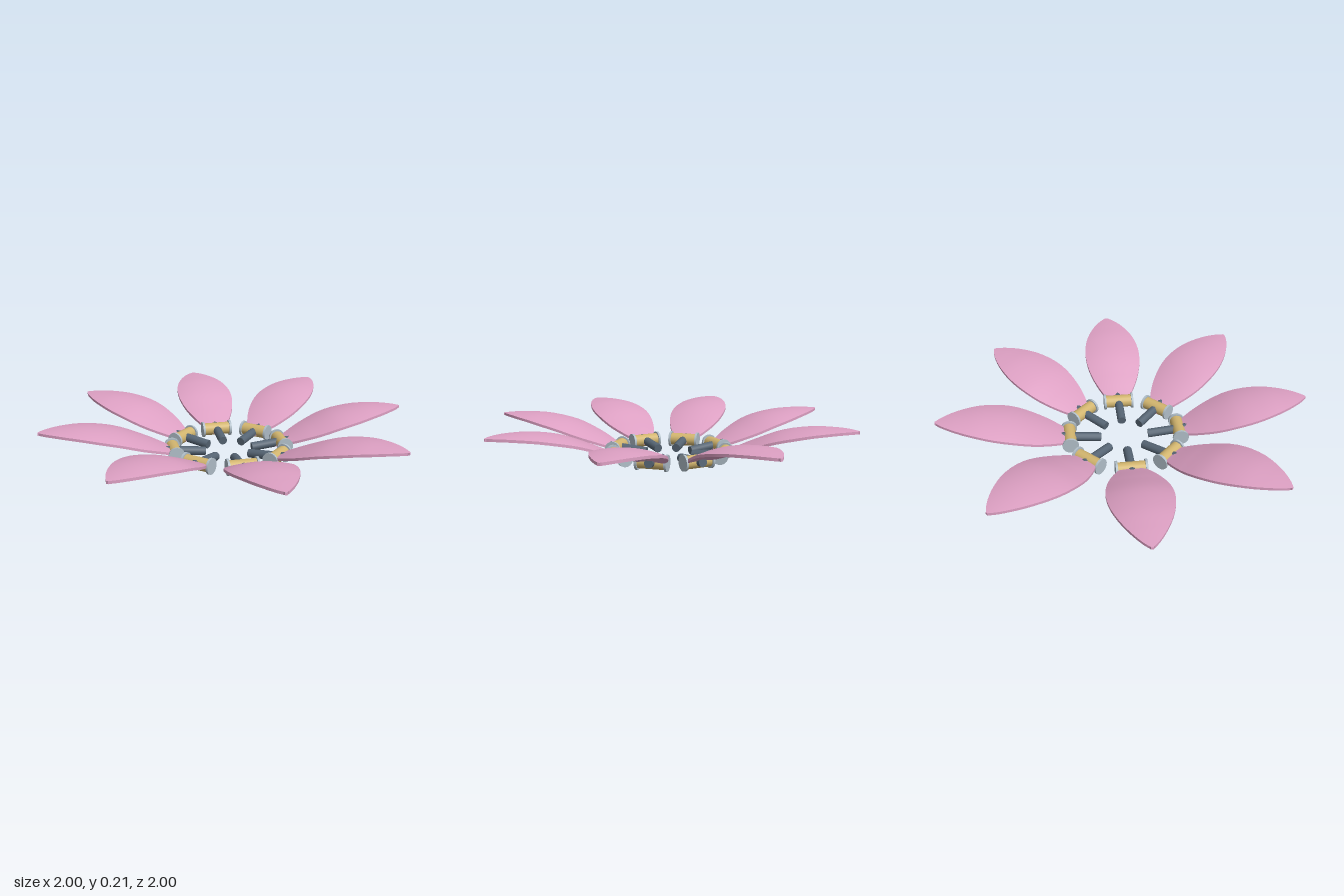
import * as THREE from 'three';
import { mergeGeometries } from 'three/addons/utils/BufferGeometryUtils.js';
import { ParametricGeometry } from 'three/addons/geometries/ParametricGeometry.js';

const mat = (name, color) => {
  const m = new THREE.MeshStandardMaterial({ color });
  m.name = name;
  return m;
};

const PETALS = 8, THICK = 0.014, HALF_WIDTH = 0.163;

// Centre line of a petal: x = distance from the middle, y = height
const spine = new THREE.SplineCurve([
  [0.25, 0.035], [0.33, 0.068], [0.45, 0.124], [0.6, 0.184],
  [0.75, 0.211], [0.88, 0.213], [1, 0.206],
].map(([r, y]) => new THREE.Vector2(r, y)));

// Point on the petal: s runs from root to tip, k from -1 to 1 across
function petalPoint(s, k, depth, target) {
  const t = (1 - Math.cos(Math.PI * s)) / 2;
  const p = spine.getPointAt(t);
  const f = Math.max(0.04, Math.pow(Math.max(0, Math.sin(Math.PI * (p.x - 0.25) / 0.75)), 0.75));
  target.set(HALF_WIDTH * f * k, p.y - 0.025 * f * f * k * k - depth, p.x);
}

// Domed leaf shape with a thin rim
function petalGeometry() {
  const top = (u, v, p) => petalPoint(v, 1 - 2 * u, 0, p);
  const bottom = (u, v, p) => petalPoint(v, 2 * u - 1, THICK, p);
  const leftRim = (u, v, p) => petalPoint(v, 1, THICK * (1 - u), p);
  const rightRim = (u, v, p) => petalPoint(v, -1, THICK * u, p);
  const tip = (u, v, p) => petalPoint(1, 2 * u - 1, THICK * (1 - v), p);
  return mergeGeometries([
    new ParametricGeometry(top, 10, 28),
    new ParametricGeometry(bottom, 10, 28),
    new ParametricGeometry(leftRim, 1, 28),
    new ParametricGeometry(rightRim, 1, 28),
    new ParametricGeometry(tip, 2, 1),
  ]);
}

export function createModel() {
  const model = new THREE.Group();
  model.name = 'flower';
  const pink = mat('petal pink', 0xdda0c3);
  const brass = mat('brass', 0xd2b56e);
  const steel = mat('pale steel', 0xb0bec8);
  const iron = mat('dark iron', 0x566574);

  const petalGeo = petalGeometry();
  const barrelGeo = new THREE.CylinderGeometry(0.035, 0.035, 0.15, 20).rotateZ(Math.PI / 2);
  const flangeGeo = new THREE.CylinderGeometry(0.044, 0.044, 0.012, 20).rotateZ(Math.PI / 2);
  const pinGeo = new THREE.CylinderGeometry(0.024, 0.024, 0.23, 12).rotateX(Math.PI / 2);

  const add = (parent, name, geo, material, x = 0, y = 0, z = 0) => {
    const mesh = new THREE.Mesh(geo, material);
    mesh.name = name;
    mesh.position.set(x, y, z);
    parent.add(mesh);
    return mesh;
  };

  for (let i = 0; i < PETALS; i++) {
    const unit = new THREE.Group();
    unit.name = 'petalUnit' + (i + 1);
    unit.rotation.y = (i / PETALS) * Math.PI * 2;
    add(unit, 'petal', petalGeo, pink);
    // Hinge: barrel, two end flanges and a radial pin
    add(unit, 'hingeBarrel', barrelGeo, brass, 0, 0.046, 0.3);
    for (const side of [-1, 1]) add(unit, 'hingeFlange', flangeGeo, steel, side * 0.078, 0.046, 0.3);
    add(unit, 'pin', pinGeo, iron, 0, 0.041, 0.245).rotation.x = -0.1;
    model.add(unit);
  }
  return model;
}
